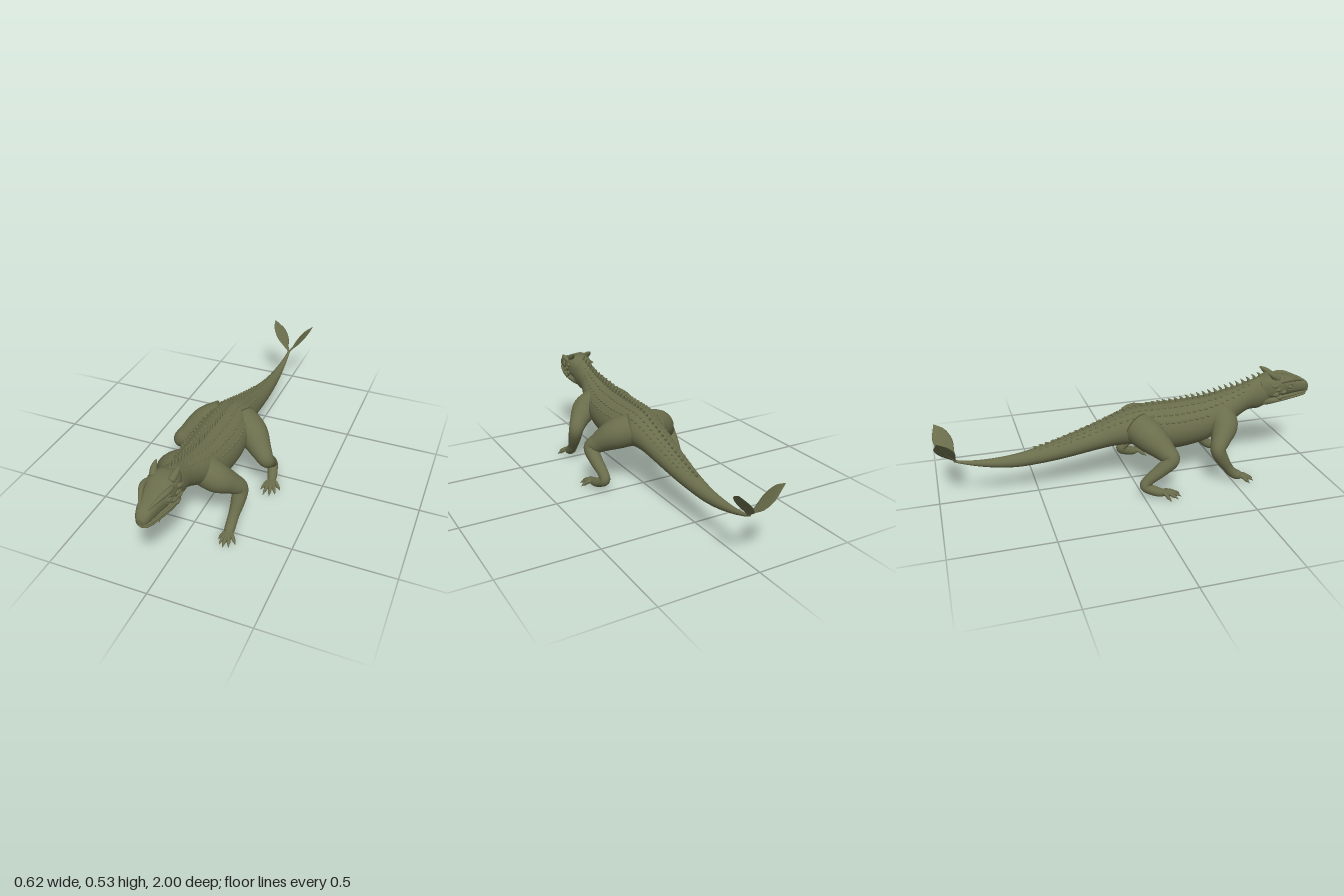
import * as THREE from 'three';

const hide = new THREE.MeshStandardMaterial({ color: 0x6b6e4c });
hide.name = 'olive hide';
const V = (x, y, z) => new THREE.Vector3(x, y, z);

// smooth interpolation through rows of numbers, t runs from 0 to rows.length - 1
function smooth(rows, t) {
  const n = rows.length - 1, i = Math.min(Math.floor(t), n - 1), u = t - i;
  const [a, b, c, d] = [Math.max(i - 1, 0), i, i + 1, Math.min(i + 2, n)].map(k => rows[k]);
  return b.map((_, k) => b[k] + 0.5 * u * (c[k] - a[k] + u * (2 * a[k] - 5 * b[k] + 4 * c[k] - d[k]
    + u * (3 * (b[k] - c[k]) + d[k] - a[k]))));
}

// closed skin over rings of points, with both ends capped
function skin(rings) {
  const centre = r => r.reduce((s, p) => s.add(p), V(0, 0, 0)).divideScalar(r.length);
  const first = centre(rings[0]), last = centre(rings[rings.length - 1]);
  const all = [rings[0].map(() => first), ...rings, rings[0].map(() => last)];
  const m = rings[0].length, pos = [], index = [];
  all.forEach((ring, i) => ring.forEach((p, j) => {
    pos.push(p.x, p.y, p.z);
    if (i === all.length - 1) return;
    const k = (j + 1) % m, a = i * m + j, b = a + m, c = i * m + k, d = c + m;
    index.push(a, b, c, b, d, c);
  }));
  const g = new THREE.BufferGeometry();
  g.setAttribute('position', new THREE.Float32BufferAttribute(pos, 3));
  g.setIndex(index);
  g.computeVertexNormals();
  return g;
}

// lengthwise form from rows of [z, bottom, top, half width], nose to tail
function sectionPoint([z, lo, hi, w], a, e = 1) {
  const pw = v => Math.sign(v) * Math.abs(v) ** e;
  return V(w * pw(Math.cos(a)), (lo + hi) / 2 + (hi - lo) / 2 * pw(Math.sin(a)), z);
}
function loft(rows, e = 1, sides = 36, steps = 5) {
  const rings = [];
  for (let i = 0; i <= (rows.length - 1) * steps; i++) {
    const s = smooth(rows, i / steps);
    rings.push(Array.from({ length: sides }, (_, j) => sectionPoint(s, j / sides * Math.PI * 2, e)));
  }
  return skin(rings);
}

// round or flattened form along a path of [x, y, z, radius]
function limb(rows, { side = 1, sides = 16, steps = 6, flat = 1, ref = [0, 0, 1] } = {}) {
  const path = rows.map(([x, y, z, r]) => [x * side, y, z, r]);
  const samples = Array.from({ length: (rows.length - 1) * steps + 1 }, (_, i) => smooth(path, i / steps));
  const pts = samples.map(s => V(s[0], s[1], s[2]));
  let n = V(ref[0] * side, ref[1], ref[2]);
  return skin(pts.map((p, i) => {
    const t = pts[Math.min(i + 1, pts.length - 1)].clone().sub(pts[Math.max(i - 1, 0)]).normalize();
    n = n.clone().addScaledVector(t, -n.dot(t)).normalize();
    const b = t.clone().cross(n), r = Math.max(samples[i][3], 0.0005);
    return Array.from({ length: sides }, (_, j) => {
      const a = -j / sides * Math.PI * 2;
      return p.clone().addScaledVector(n, r * Math.cos(a)).addScaledVector(b, r * flat * Math.sin(a));
    });
  }));
}

const BODY = [
  [0.80, 0.385, 0.495, 0.050], [0.75, 0.345, 0.505, 0.058], [0.70, 0.325, 0.497, 0.060],
  [0.65, 0.325, 0.478, 0.061], [0.60, 0.305, 0.460, 0.069], [0.50, 0.245, 0.437, 0.100],
  [0.40, 0.190, 0.420, 0.120], [0.30, 0.170, 0.413, 0.131], [0.20, 0.165, 0.410, 0.135],
  [0.10, 0.182, 0.410, 0.127], [0.00, 0.212, 0.402, 0.108], [-0.10, 0.215, 0.370, 0.088],
  [-0.20, 0.203, 0.333, 0.076], [-0.30, 0.187, 0.300, 0.066], [-0.40, 0.172, 0.270, 0.055],
  [-0.50, 0.162, 0.245, 0.044], [-0.60, 0.158, 0.227, 0.034], [-0.70, 0.168, 0.219, 0.025],
  [-0.80, 0.190, 0.220, 0.016], [-0.88, 0.215, 0.231, 0.009], [-0.91, 0.228, 0.240, 0.007]];
const SKULL = [
  [1.000, 0.405, 0.430, 0.012], [0.988, 0.397, 0.447, 0.026], [0.960, 0.396, 0.466, 0.038],
  [0.900, 0.394, 0.484, 0.052], [0.850, 0.391, 0.497, 0.064], [0.800, 0.385, 0.511, 0.071],
  [0.750, 0.378, 0.511, 0.067], [0.700, 0.385, 0.490, 0.050]];
const JAW = [
  [0.988, 0.380, 0.390, 0.012], [0.970, 0.374, 0.393, 0.030], [0.900, 0.371, 0.393, 0.053],
  [0.820, 0.365, 0.393, 0.068], [0.750, 0.348, 0.400, 0.061], [0.700, 0.345, 0.400, 0.045]];

const FRONT_LEG = [
  [0.04, 0.325, 0.47, 0.080], [0.11, 0.292, 0.47, 0.073], [0.17, 0.245, 0.43, 0.051],
  [0.20, 0.205, 0.405, 0.040], [0.20, 0.150, 0.428, 0.035], [0.194, 0.090, 0.467, 0.027],
  [0.192, 0.052, 0.500, 0.026], [0.194, 0.036, 0.530, 0.024], [0.195, 0.028, 0.555, 0.010]];
const HIND_LEG = [
  [0.05, 0.315, 0.02, 0.085], [0.13, 0.285, 0.065, 0.080], [0.20, 0.232, 0.12, 0.054],
  [0.234, 0.200, 0.14, 0.041], [0.234, 0.150, 0.085, 0.034], [0.225, 0.100, 0.025, 0.028],
  [0.226, 0.066, 0.006, 0.027], [0.242, 0.040, 0.055, 0.025], [0.250, 0.030, 0.090, 0.020],
  [0.254, 0.026, 0.110, 0.008]];
const FRONT_TOES = [[0.156, 0.570], [0.173, 0.602], [0.195, 0.613], [0.222, 0.605], [0.245, 0.575]];
const HIND_TOES = [[0.212, 0.150], [0.238, 0.186], [0.270, 0.184], [0.294, 0.160], [0.308, 0.118]];

// section of the body at a given z
function bodyAt(z) {
  let i = 0;
  while (i < BODY.length - 2 && BODY[i + 1][0] > z) i++;
  return smooth(BODY, i + (BODY[i][0] - z) / (BODY[i][0] - BODY[i + 1][0]));
}

export function createModel() {
  const model = new THREE.Group();
  const add = (name, geometry, parent = model) => {
    const mesh = new THREE.Mesh(geometry, hide);
    mesh.name = name;
    parent.add(mesh);
    return mesh;
  };
  const group = name => {
    const g = new THREE.Group();
    g.name = name;
    model.add(g);
    return g;
  };

  add('bodyAndTail', loft(BODY));
  add('skull', loft(SKULL, 0.78));
  add('lowerJaw', loft(JAW, 0.8));

  // crest of backswept spines, largest over the shoulders
  const crest = group('dorsalSpines');
  for (let i = 0; i < 40; i++) {
    const z = 0.71 - i * 0.031, top = bodyAt(z)[2];
    const h = 0.012 + 0.027 * Math.exp(-(((z - 0.47) / 0.32) ** 2));
    add('spine', limb([[0, top - 0.008, z + 0.006, 0.013], [0, top + h * 0.5, z - 0.004, 0.007],
      [0, top + h, z - 0.02, 0.0008]], { sides: 8, steps: 3, flat: 0.5 }), crest);
  }

  // rows of low scutes on either side of the crest
  const scutes = group('backScutes');
  const scute = new THREE.SphereGeometry(1, 8, 6);
  for (const side of [1, -1]) for (const [angle, from, count] of [[1.22, 0.64, 36], [0.85, 0.60, 32], [0.52, 0.38, 12]]) {
    for (let i = 0; i < count; i++) {
      const s = bodyAt(from - i * 0.032), size = 0.004 + 0.045 * s[3];
      const m = add('scute', scute, scutes);
      m.position.copy(sectionPoint(s, side > 0 ? angle : Math.PI - angle));
      m.scale.set(size * 0.75, size * 0.65, size * 1.2);
    }
  }

  for (const side of [1, -1]) {
    const label = side > 0 ? 'left' : 'right';
    const opt = { side, sides: 10, steps: 4 };

    // legs with clawed toes
    for (const [name, leg, tips, px, pz] of [
      ['FrontLeg', FRONT_LEG, FRONT_TOES, 0.194, 0.525], ['HindLeg', HIND_LEG, HIND_TOES, 0.25, 0.085]]) {
      const g = group(label + name);
      add('leg', limb(leg, { side, sides: 20 }), g);
      for (const [x, z] of tips) {
        const at = (f, y, r) => [px + (x - px) * f, y, pz + (z - pz) * f, r];
        add('toe', limb([at(0, 0.034, 0.012), at(0.42, 0.033, 0.0105), at(0.72, 0.019, 0.009),
          at(0.85, 0.015, 0.006), at(1, 0.004, 0.0008)], opt), g);
      }
    }

    // leaf-shaped tail fin with a raised midrib
    const fin = group(label + 'TailFin');
    add('fin', limb([[0, 0.232, -0.905, 0.004], [0.022, 0.258, -0.918, 0.020], [0.045, 0.290, -0.937, 0.042],
      [0.070, 0.324, -0.952, 0.047], [0.095, 0.356, -0.964, 0.034], [0.120, 0.387, -0.983, 0.001]],
    { side, sides: 14, flat: 0.06, ref: [-0.25, 0.05, -1] }), fin);
    add('midrib', limb([[0, 0.230, -0.90, 0.006], [0.045, 0.290, -0.937, 0.004], [0.070, 0.324, -0.952, 0.003],
      [0.112, 0.377, -0.977, 0.001]], opt), fin);

    // head features
    const face = group(label + 'FaceDetails');
    add('brow', limb([[0.056, 0.476, 0.795, 0.008], [0.061, 0.486, 0.835, 0.013], [0.054, 0.486, 0.875, 0.013],
      [0.036, 0.474, 0.92, 0.009], [0.020, 0.460, 0.965, 0.004]], opt), face);
    add('horn', limb([[0.042, 0.492, 0.795, 0.018], [0.050, 0.512, 0.768, 0.016],
      [0.053, 0.526, 0.748, 0.010], [0.053, 0.536, 0.732, 0.002]], opt), face);
    add('eye', new THREE.SphereGeometry(0.015, 16, 12), face).position.set(side * 0.059, 0.449, 0.858);
    const lid = add('eyelid', new THREE.TorusGeometry(0.018, 0.0055, 8, 20), face);
    lid.position.set(side * 0.063, 0.449, 0.858);
    lid.rotation.y = side * 1.32;
    lid.scale.x = 1.2;
    const nostril = add('nostril', new THREE.TorusGeometry(0.005, 0.0025, 6, 12), face);
    nostril.position.set(side * 0.016, 0.444, 0.984);
    nostril.rotation.set(-0.6, side * 0.6, 0);
    add('lip', limb([[0.010, 0.401, 0.996, 0.004], [0.030, 0.400, 0.972, 0.005], [0.053, 0.399, 0.900, 0.006],
      [0.068, 0.397, 0.825, 0.007], [0.068, 0.400, 0.780, 0.003]], opt), face);
    for (const [y, z] of [[0.395, 0.80], [0.415, 0.775], [0.44, 0.79], [0.462, 0.77], [0.425, 0.82]]) {
      add('cheekSpine', limb([[0.060, y, z + 0.012, 0.014], [0.072, y, z, 0.010],
        [0.079, y + 0.003, z - 0.022, 0.001]], opt), face);
    }
  }
  return model;
}
